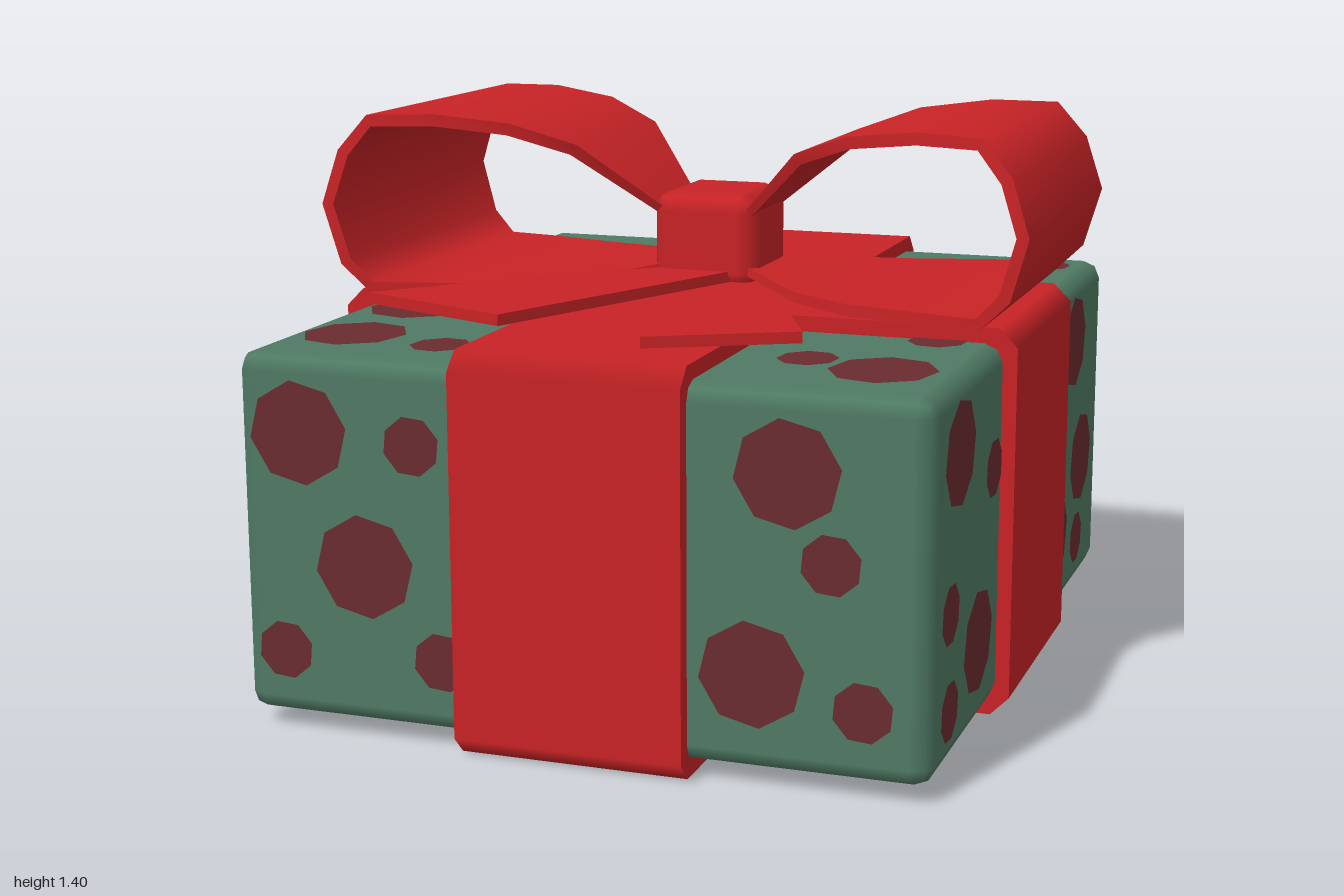
import * as THREE from 'three';
import { mergeGeometries } from 'three/addons/utils/BufferGeometryUtils.js';
import { RoundedBoxGeometry } from 'three/addons/geometries/RoundedBoxGeometry.js';

const mat = (name, color) => Object.assign(new THREE.MeshStandardMaterial({ color }), { name });
const CX = -0.01, CY = 0.473; // centre of the box
const BOX = { w: 1.66, h: 0.87, d: 1.92 };

function add(parent, name, geometry, material) {
  const mesh = new THREE.Mesh(geometry, material);
  mesh.name = name;
  parent.add(mesh);
  return mesh;
}

// Ribbon around the box: a chamfered rectangle, extruded, shaded softly over the chamfers
function bandGeometry(length, height, width, r = 0.045) {
  const a = length / 2, b = height / 2;
  const shape = new THREE.Shape([
    [a, b - r], [a - r, b], [r - a, b], [-a, b - r], [-a, r - b], [r - a, -b], [a - r, -b], [a, r - b],
  ].map(([x, y]) => new THREE.Vector2(x, y)));
  const geo = new THREE.ExtrudeGeometry(shape, { depth: width, bevelEnabled: false });
  geo.translate(0, 0, -width / 2);
  const p = geo.attributes.position, n = geo.attributes.normal, v = new THREE.Vector3();
  for (let i = 0; i < p.count; i++) {
    if (Math.abs(n.getZ(i)) > 0.5) continue;
    const x = p.getX(i), y = p.getY(i);
    v.set(x - THREE.MathUtils.clamp(x, r - a, a - r), y - THREE.MathUtils.clamp(y, r - b, b - r), 0).normalize();
    n.setXYZ(i, v.x, v.y, 0);
  }
  return geo;
}

// One bow loop: rows of x, y, half width and thickness, swept into a closed-section strip
function loopGeometry() {
  const path = [
    [0.06, 1.11, 0.09, 0.02], [0.11, 1.155, 0.125, 0.02], [0.28, 1.32, 0.28, 0.03], [0.43, 1.375, 0.35, 0.03],
    [0.61, 1.397, 0.4, 0.03], [0.775, 1.393, 0.435, 0.03], [0.85, 1.305, 0.447, 0.03], [0.893, 1.17, 0.455, 0.03],
    [0.85, 1.02, 0.447, 0.03], [0.775, 0.947, 0.435, 0.03], [0.61, 0.947, 0.4, 0.03], [0.43, 0.947, 0.35, 0.03],
    [0.28, 0.96, 0.28, 0.025], [0.11, 0.99, 0.125, 0.02], [0.06, 1.0, 0.09, 0.02],
  ];
  const rings = path.map(([x, y, w, t], i) => {
    const p = path[Math.max(i - 1, 0)], q = path[Math.min(i + 1, path.length - 1)];
    const len = Math.hypot(q[0] - p[0], q[1] - p[1]);
    const ix = x + (q[1] - p[1]) / len * t, iy = y - (q[0] - p[0]) / len * t;
    return [[x, y, w], [x, y, -w], [ix, iy, -w], [ix, iy, w]];
  });
  const strips = [0, 1, 2, 3].map((k) => {
    const pos = [], index = [];
    rings.forEach((ring, i) => {
      pos.push(...ring[k], ...ring[(k + 1) % 4]);
      const a = i * 2;
      if (i < rings.length - 1) index.push(a, a + 2, a + 1, a + 2, a + 3, a + 1);
    });
    const g = new THREE.BufferGeometry();
    g.setAttribute('position', new THREE.Float32BufferAttribute(pos, 3));
    g.setIndex(index);
    g.computeVertexNormals();
    return g;
  });
  return mergeGeometries(strips);
}

// Flat ribbon tail from x, z corners
function tailGeometry(corners, top) {
  const shape = new THREE.Shape(corners.map(([x, z]) => new THREE.Vector2(x, z)));
  const geo = new THREE.ExtrudeGeometry(shape, { depth: 0.027, bevelEnabled: false });
  return geo.rotateX(Math.PI / 2).translate(0, top, 0);
}

// Eight-sided spots in the plane of one face: rows of u, v and size (1 large, 0 small)
function spotGeometry(spots, su, sv, depth) {
  return mergeGeometries(spots.map(([u, v, big]) => {
    const r = big ? 0.124 : 0.071;
    return new THREE.CircleGeometry(r, 8, big ? 0.15 : 0.3).scale(su, sv, 1).translate(u, v, depth);
  }));
}

export function createModel() {
  const green = mat('paper green', 0x4f7a64);
  const red = mat('ribbon red', 0xc82326);
  const maroon = mat('spot maroon', 0x6b2c2f);
  const model = new THREE.Group();
  model.name = 'giftBox';

  // Wrapped box
  add(model, 'box', new RoundedBoxGeometry(BOX.w, BOX.h, BOX.d, 1, 0.045), green).position.set(CX, CY, 0);

  // Spots on all six faces
  const front = [[-0.67, 0.725, 1], [-0.385, 0.715, 0], [-0.51, 0.42, 1], [-0.72, 0.2, 0], [-0.32, 0.21, 0],
    [0.505, 0.725, 1], [0.605, 0.53, 0], [0.425, 0.265, 1], [0.68, 0.205, 0]];
  const side = [[-0.735, 0.745, 1], [-0.395, 0.63, 0], [-0.8, 0.395, 0], [-0.525, 0.25, 1], [-0.795, 0.17, 0],
    [0.575, 0.745, 1], [0.34, 0.63, 0], [0.7, 0.4, 1], [0.39, 0.25, 1], [0.665, 0.18, 0]];
  const top = [[-0.65, 0.6, 1], [-0.355, 0.8, 0], [-0.4, 0.5, 0], [0.51, 0.6, 1], [0.7, 0.79, 0],
    [-0.65, -0.35, 1], [-0.65, -0.7, 1], [-0.4, -0.76, 0], [0.68, -0.34, 0], [0.645, -0.7, 1], [0.45, -0.63, 0]];
  const upright = (list, k = 1) => list.map(([u, v, b]) => [u * k, v - CY, b]);
  const faces = [
    ['frontSpots', upright(front), 1, 1, BOX.d, 0, 0],
    ['backSpots', upright(side, 0.86), 1, 1, BOX.d, 0, Math.PI],
    ['leftSpots', upright(side), 1.14, 1, BOX.w, 0, Math.PI / 2],
    ['rightSpots', upright(side), 1.14, 1, BOX.w, 0, -Math.PI / 2],
    ['topSpots', top, 1, 1.14, BOX.h, -Math.PI / 2, 0],
    ['bottomSpots', top, 1, 1.14, BOX.h, Math.PI / 2, 0],
  ];
  for (const [name, spots, su, sv, size, rx, ry] of faces) {
    const mesh = add(model, name, spotGeometry(spots, su, sv, size / 2 + 0.003), maroon);
    mesh.position.set(CX, CY, 0);
    mesh.rotation.set(rx, ry, 0);
  }

  // Crossing ribbons
  add(model, 'sideRibbon', bandGeometry(1.73, 0.945, 0.64), red).position.set(CX, CY, 0);
  const lengthRibbon = add(model, 'lengthRibbon', bandGeometry(2, 0.945, 0.55), red);
  lengthRibbon.position.set(CX, CY, 0);
  lengthRibbon.rotation.y = Math.PI / 2;

  // Bow: two loops, knot and two tails
  const bow = new THREE.Group();
  bow.name = 'bow';
  model.add(bow);
  const loop = loopGeometry();
  ['leftLoop', 'rightLoop'].forEach((name, i) => {
    const mesh = add(bow, name, loop, red);
    mesh.position.z = -0.05;
    mesh.rotation.y = i * Math.PI;
  });
  add(bow, 'knot', new RoundedBoxGeometry(0.276, 0.25, 0.29, 1, 0.05), red).position.set(-0.002, 1.07, -0.055);
  add(bow, 'rightTail', tailGeometry([[-0.65, 0.64], [-0.245, 0.805], [0.07, 0.08], [-0.1, 0]], 1.0), red);
  add(bow, 'leftTail', tailGeometry([[0.105, 0.815], [0.43, 0.64], [0.13, 0], [-0.04, 0.02]], 0.973), red);
  return model;
}
